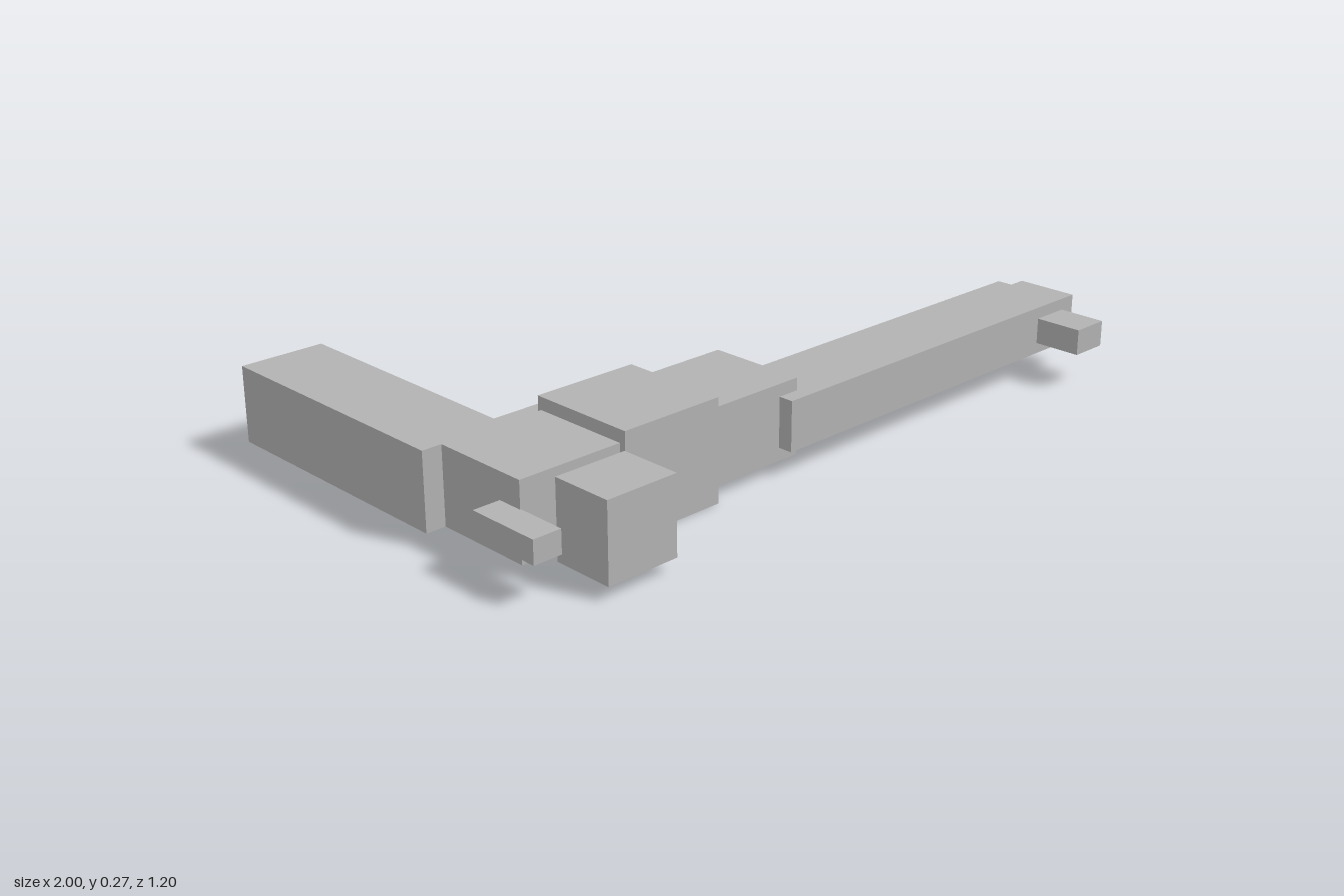
import * as THREE from 'three';

export function createModel() {
  const group = new THREE.Group();
  const grey = new THREE.MeshStandardMaterial({ color: 0xb2b2b2 });
  grey.name = 'grey';

  // Adds a block spanning the given [min, max] ranges.
  function block(name, [x0, x1], [y0, y1], [z0, z1]) {
    const mesh = new THREE.Mesh(new THREE.BoxGeometry(x1 - x0, y1 - y0, z1 - z0), grey);
    mesh.position.set((x0 + x1) / 2, (y0 + y1) / 2, (z0 + z1) / 2);
    mesh.name = name;
    group.add(mesh);
  }

  const bodyY = [0.035, 0.235];
  const smallY = [0.1, 0.17];

  // Main L-shaped body: the grip meets the frame edge to edge
  block('grip', [-0.98, -0.752], bodyY, [-0.603, 0.126]);
  block('frame', [-0.927, -0.07], bodyY, [0.126, 0.395]);
  block('centreBlock', [-0.642, -0.352], [0, 0.268], [0.115, 0.412]);

  // Barrel with the narrower rod beneath it
  block('barrel', [-0.13, 1], [0.07, 0.202], [0.263, 0.435]);
  block('barrelRod', [-0.07, 1], [0.088, 0.182], [0.183, 0.263]);

  // Small fittings
  block('trigger', [-0.752, -0.485], smallY, [-0.036, 0.044]);
  block('frontSight', [0.845, 0.953], smallY, [0.435, 0.567]);
  block('rearSight', [-0.862, -0.664], bodyY, [0.435, 0.6]);
  block('hammer', [-1, -0.924], [0.106, 0.166], [0.326, 0.525]);

  return group;
}
